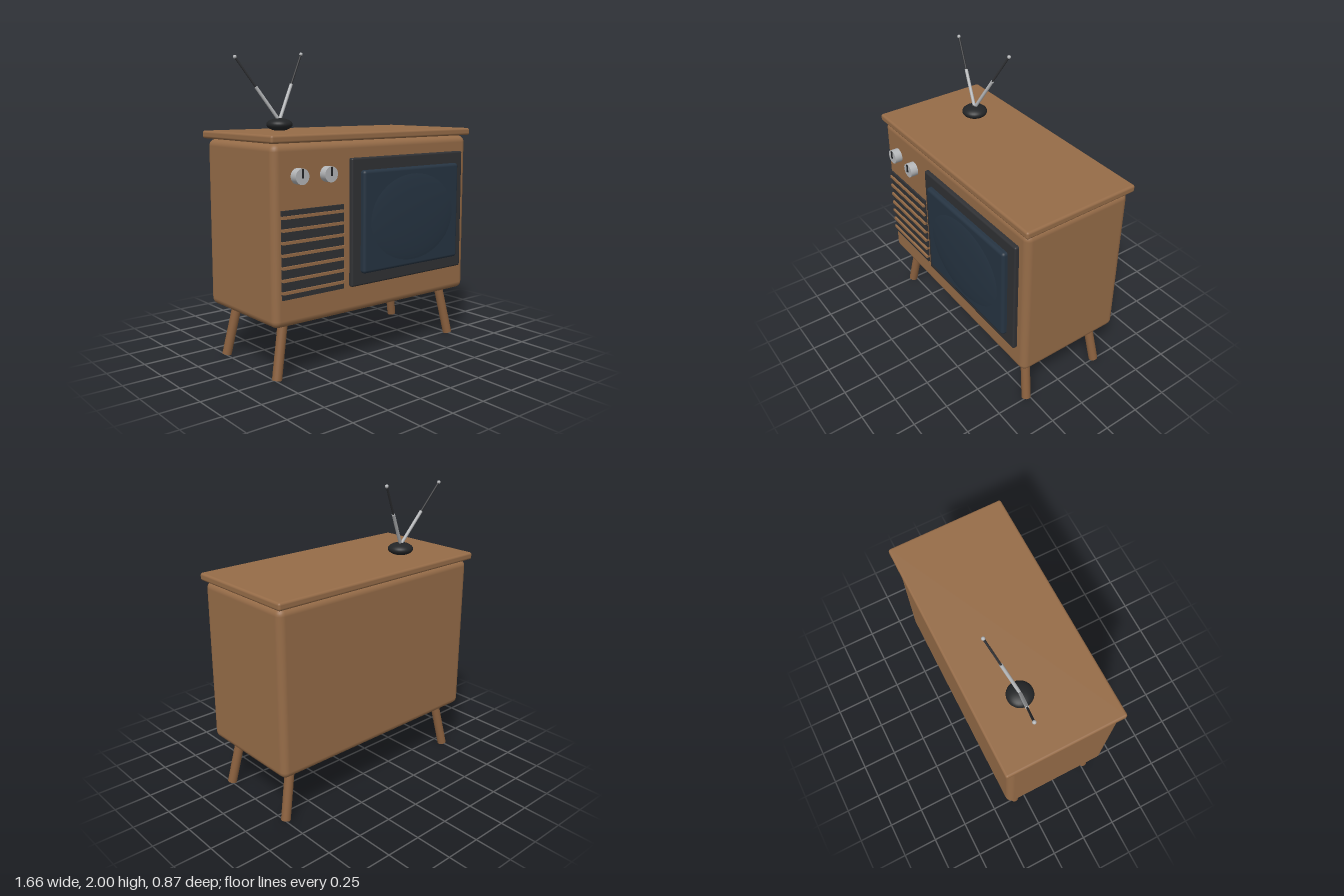
import * as THREE from 'three';
import { RoundedBoxGeometry } from 'three/addons/geometries/RoundedBoxGeometry.js';

const mat = (color) => new THREE.MeshStandardMaterial({ color });

export function createModel() {
  const model = new THREE.Group();
  model.name = 'television';
  const wood = mat(0x966c48), legWood = mat(0x8a603e), dark = mat(0x303134);
  const glass = mat(0x263442), metal = mat(0xb4b6b8), black = mat(0x232527);

  const add = (name, geometry, material, x = 0, y = 0, z = 0, parent = model) => {
    const mesh = new THREE.Mesh(geometry, material);
    mesh.name = name;
    mesh.position.set(x, y, z);
    parent.add(mesh);
    return mesh;
  };
  // Rounded box given by its limits on each axis
  const block = (name, [x0, x1], [y0, y1], [z0, z1], r, material) =>
    add(name, new RoundedBoxGeometry(x1 - x0, y1 - y0, z1 - z0, 3, r), material,
      (x0 + x1) / 2, (y0 + y1) / 2, (z0 + z1) / 2);
  // Cylinder between two points
  const rod = (name, a, b, ra, rb, material, parent = model) => {
    const dir = b.clone().sub(a);
    const mesh = add(name, new THREE.CylinderGeometry(rb, ra, dir.length(), 20), material, 0, 0, 0, parent);
    mesh.position.copy(a).add(b).multiplyScalar(0.5);
    mesh.quaternion.setFromUnitVectors(new THREE.Vector3(0, 1, 0), dir.normalize());
    return mesh;
  };
  const V = (x, y, z) => new THREE.Vector3(x, y, z);

  // Cabinet and overhanging top board
  block('cabinet', [-0.81, 0.81], [0.35, 1.44], [-0.41, 0.358], 0.045, wood);
  block('topBoard', [-0.828, 0.828], [1.443, 1.492], [-0.435, 0.375], 0.015, wood);
  add('topSpacer', new THREE.BoxGeometry(1.5, 0.03, 0.65), wood, 0, 1.44, -0.03);

  // Screen: frame, tube and bulging glass
  block('screenFrame', [-0.25, 0.738], [0.525, 1.335], [0.335, 0.386], 0.012, dark);
  block('screen', [-0.18, 0.668], [0.605, 1.257], [0.36, 0.42], 0.02, glass);
  add('screenBulge', new THREE.SphereGeometry(1, 40, 24), glass, 0.243, 0.93, 0.41)
    .scale.set(0.4, 0.31, 0.025);

  // Speaker grille with wooden slats
  add('speakerPanel', new THREE.BoxGeometry(0.46, 0.53, 0.04), dark, -0.53, 0.79, 0.35);
  for (let i = 0; i < 7; i++) {
    add('speakerSlat', new THREE.BoxGeometry(0.46, 0.018, 0.04), wood, -0.53, 0.569 + i * 0.0743, 0.362);
  }

  // Knobs with pointer marks
  for (const x of [-0.64, -0.428]) {
    const knob = new THREE.Group();
    knob.name = 'knob';
    knob.position.set(x, 1.25, 0);
    model.add(knob);
    add('knobBody', new THREE.CylinderGeometry(0.048, 0.048, 0.06, 32), metal, 0, 0, 0.38, knob)
      .rotation.x = Math.PI / 2;
    add('knobPointer', new THREE.BoxGeometry(0.012, 0.055, 0.012), black, 0, 0.018, 0.41, knob);
  }

  // Splayed legs
  for (const s of [-1, 1]) {
    for (const t of [-1, 1]) {
      rod('leg', V(s * 0.745, 0.007, -0.027 + t * 0.3), V(s * 0.667, 0.39, -0.027 + t * 0.262),
        0.031, 0.031, legWood);
    }
  }

  // Antenna: domed base and two telescopic rods
  const antenna = new THREE.Group();
  antenna.name = 'antenna';
  model.add(antenna);
  add('antennaBase', new THREE.SphereGeometry(1, 32, 20), black, -0.428, 1.53, -0.138, antenna)
    .scale.set(0.085, 0.041, 0.085);
  const foot = V(-0.428, 1.555, -0.138);
  for (const tip of [V(-0.708, 1.953, -0.208), V(-0.18, 1.988, -0.24)]) {
    const joint = foot.clone().lerp(tip, 0.54);
    rod('lowerRod', foot, joint, 0.011, 0.011, metal, antenna);
    rod('upperRod', joint, tip, 0.007, 0.007, dark, antenna);
    add('rodTip', new THREE.SphereGeometry(0.012, 16, 12), metal, tip.x, tip.y, tip.z, antenna);
  }
  return model;
}
